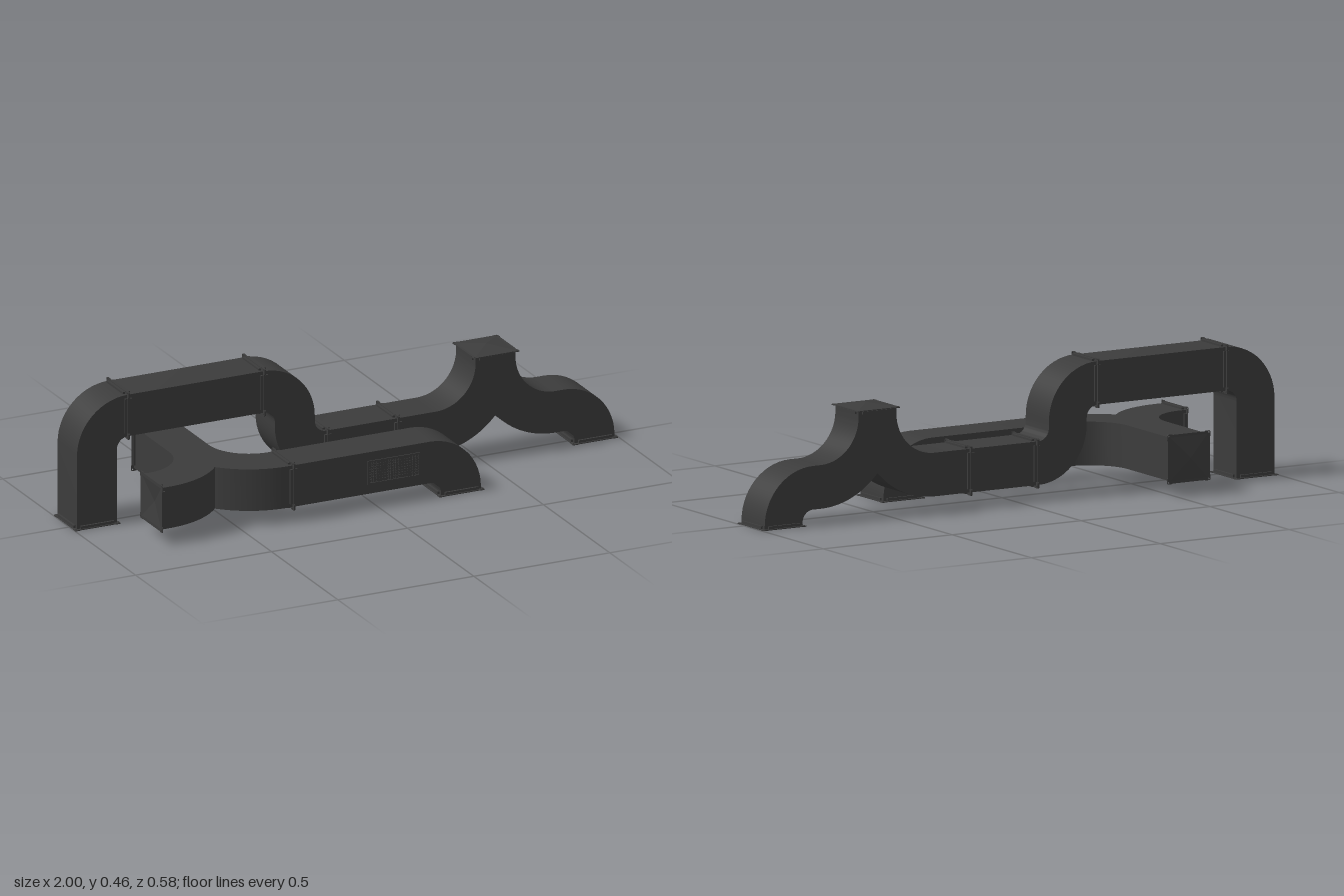
import * as THREE from 'three';
import { toCreasedNormals } from 'three/addons/utils/BufferGeometryUtils.js';

const H = 0.0733;     // half width of the square duct
const R = 0.114;      // centre line radius of an elbow
const Y = 0.126;      // height of the low runs
const ZB = -0.0365;   // back run
const ZF = 0.207;     // front run

const metal = new THREE.MeshStandardMaterial({ color: 0x3c3c3c, side: THREE.DoubleSide });
const facetMetal = new THREE.MeshStandardMaterial({ color: 0x3c3c3c, side: THREE.DoubleSide, flatShading: true });

function mesh(name, geo, mat = metal) {
  const m = new THREE.Mesh(geo, mat);
  m.name = name;
  return m;
}

// Open square duct along a polyline in the xy plane, with rounded elbows
function duct(name, points, z) {
  const pts = points.map(p => new THREE.Vector2(...p));
  const sections = [];
  const add = (p, t) => {
    const n = new THREE.Vector2(-t.y, t.x);
    sections.push([[1, 1], [1, -1], [-1, -1], [-1, 1]].map(([a, b]) =>
      [p.x + n.x * a * H, p.y + n.y * a * H, z + b * H]));
  };
  const dir = i => pts[i + 1].clone().sub(pts[i]).normalize();
  add(pts[0], dir(0));
  for (let i = 1; i < pts.length - 1; i++) {
    const d1 = dir(i - 1), turn = Math.sign(d1.cross(dir(i)));
    const side = new THREE.Vector2(-d1.y, d1.x).multiplyScalar(turn);
    const centre = pts[i].clone().addScaledVector(d1, -R).addScaledVector(side, R);
    for (let k = 0; k <= 14; k++) {
      const a = k / 14 * Math.PI / 2;
      const p = centre.clone().addScaledVector(d1, R * Math.sin(a)).addScaledVector(side, -R * Math.cos(a));
      add(p, d1.clone().multiplyScalar(Math.cos(a)).addScaledVector(side, Math.sin(a)));
    }
  }
  add(pts[pts.length - 1], dir(pts.length - 2));

  const v = [];
  for (let i = 0; i < sections.length - 1; i++) {
    for (let k = 0; k < 4; k++) {
      const a = sections[i][k], b = sections[i][(k + 1) % 4];
      const c = sections[i + 1][(k + 1) % 4], d = sections[i + 1][k];
      v.push(...a, ...d, ...c, ...a, ...c, ...b);
    }
  }
  const geo = new THREE.BufferGeometry();
  geo.setAttribute('position', new THREE.Float32BufferAttribute(v, 3));
  return mesh(name, toCreasedNormals(geo, 0.5));
}

// Two-legged junction: legs along x, neck along +y
function branch(name, neck) {
  const c = 3 * H, ro = 4 * H, ri = 2 * H, a = Math.acos(c / ro), P = Math.PI;
  const s = new THREE.Shape();
  s.moveTo(-c, -H);
  s.absarc(-c, c, ro, -P / 2, -a, false);
  s.absarc(c, c, ro, P + a, 1.5 * P, false);
  s.lineTo(c, H);
  s.absarc(c, c, ri, 1.5 * P, P, true);
  s.lineTo(H, neck);
  s.lineTo(-H, neck);
  s.lineTo(-H, c);
  s.absarc(-c, c, ri, 0, -P / 2, true);
  const geo = new THREE.ExtrudeGeometry(s, { depth: 2 * H, bevelEnabled: false, curveSegments: 16 });
  geo.translate(0, 0, -H);
  return mesh(name, toCreasedNormals(geo, 0.5));
}

// Bolt plate for one flange corner
function cornerGeometry() {
  const o = H + 0.0103, i = H - 0.016, e = H + 0.004;
  const s = new THREE.Shape([[i, H - 0.002], [H - 0.002, H - 0.002], [H - 0.002, i], [e, i], [o, H - 0.008],
    [o, o - 0.003], [o - 0.003, o], [H - 0.008, o], [i, e]].map(p => new THREE.Vector2(...p)));
  const hole = new THREE.Path();
  hole.absarc(H + 0.0048, H + 0.0048, 0.003, 0, Math.PI * 2, true);
  s.holes.push(hole);
  const geo = new THREE.ExtrudeGeometry(s, { depth: 0.003, bevelEnabled: false, curveSegments: 8 });
  return geo.rotateX(-Math.PI / 2).translate(0, -0.003, 0);
}
const cornerGeo = cornerGeometry();
const railGeo = new THREE.BoxGeometry(0.122, 0.009, 0.009);
const lipGeo = new THREE.BoxGeometry(0.122, 0.003, 0.011);

// Flange facing dir; cap 1 = raised pyramid, -1 = sunken pyramid, 0 = none
function flange(name, pos, dir, cap = 0) {
  const g = new THREE.Group();
  g.name = name;
  for (let k = 0; k < 4; k++) {
    const side = new THREE.Group();
    side.name = 'flangeSide';
    side.rotation.y = k * Math.PI / 2;
    const rail = mesh('rail', railGeo);
    rail.position.set(0, -0.0085, H + 0.002);
    const lip = mesh('lip', lipGeo);
    lip.position.set(0, -0.0015, H + 0.003);
    side.add(rail, lip, mesh('cornerPlate', cornerGeo));
    g.add(side);
  }
  if (cap) {
    const geo = new THREE.ConeGeometry(H * Math.SQRT2, 0.012, 4, 1, true);
    geo.rotateY(Math.PI / 4).translate(0, 0.006, 0);
    if (cap < 0) geo.rotateX(Math.PI);
    g.add(mesh('endCap', geo, facetMetal));
  }
  g.position.set(...pos);
  g.quaternion.setFromUnitVectors(new THREE.Vector3(0, 1, 0), new THREE.Vector3(...dir));
  return g;
}

// Framed mesh vent on the front run
function vent() {
  const g = new THREE.Group();
  g.name = 'vent';
  const w = 0.096, h = 0.042, b = 0.006;
  const rect = (T, x, y) => new T([[-x, -y], [x, -y], [x, y], [-x, y]].map(p => new THREE.Vector2(...p)));
  const s = rect(THREE.Shape, w, h);
  s.holes.push(rect(THREE.Path, w - b, h - b));
  g.add(mesh('ventFrame', new THREE.ExtrudeGeometry(s, { depth: 0.004, bevelEnabled: false })));
  const bar = (x, y, bw, bh) => {
    const m = mesh('ventBar', new THREE.BoxGeometry(bw, bh, 0.002));
    m.position.set(x, y, 0.001);
    g.add(m);
  };
  for (let i = 1; i < 20; i++) bar(-w + b + i * (w - b) / 10, 0, 0.003, 2 * (h - b));
  for (let i = 1; i < 8; i++) bar(0, -h + b + i * (h - b) / 4, 2 * (w - b), 0.003);
  g.position.set(0.056, 0.127, ZF + H);
  return g;
}

export function createModel() {
  const model = new THREE.Group();
  model.name = 'ductwork';

  // Back run: raised loop, low run, junction and floor outlet
  const upper = 0.374, xl = -0.916, xd = -0.188, xj = 0.55, xr = 0.914;
  model.add(duct('raisedDuct', [[xl, 0], [xl, upper], [xd, upper], [xd, Y], [xj - 3 * H, Y]], ZB));
  model.add(duct('backOutlet', [[xj + 3 * H, Y], [xr, Y], [xr, 0]], ZB));
  const back = branch('backJunction', 0.367 - Y);
  back.position.set(xj, Y, ZB);
  model.add(back);

  // Front run: junction lying flat, with its neck to the back
  const xf = -0.553, xo = 0.304, zNeck = -0.279;
  const front = branch('frontJunction', ZF - zNeck);
  front.rotation.x = -Math.PI / 2;
  front.position.set(xf, Y, ZF);
  model.add(front);
  model.add(duct('frontDuct', [[xf + 3 * H, Y], [xo, Y], [xo, 0]], ZF));
  model.add(duct('frontStub', [[-0.799, Y], [xf - 3 * H, Y]], ZF));
  model.add(vent());

  // End flanges with pyramid caps
  model.add(
    flange('leftFloorFlange', [xl, 0, ZB], [0, -1, 0], -1),
    flange('rightFloorFlange', [xr, 0, ZB], [0, -1, 0], -1),
    flange('frontFloorFlange', [xo, 0, ZF], [0, -1, 0], -1),
    flange('frontStubFlange', [-0.799, Y, ZF], [-1, 0, 0], -1),
    flange('topFlange', [xj, 0.368, ZB], [0, 1, 0], 1),
    flange('rearFlange', [xf, Y, zNeck - 0.001], [0, 0, -1], 1));

  // Paired flanges at the joints
  for (const [x, y, z] of [[-0.802, upper, ZB], [-0.302, upper, ZB], [-0.068, Y, ZB], [0.19, Y, ZB], [-0.313, Y, ZF]]) {
    for (const d of [-1, 1]) model.add(flange('jointFlange', [x, y, z], [d, 0, 0]));
  }
  return model;
}
